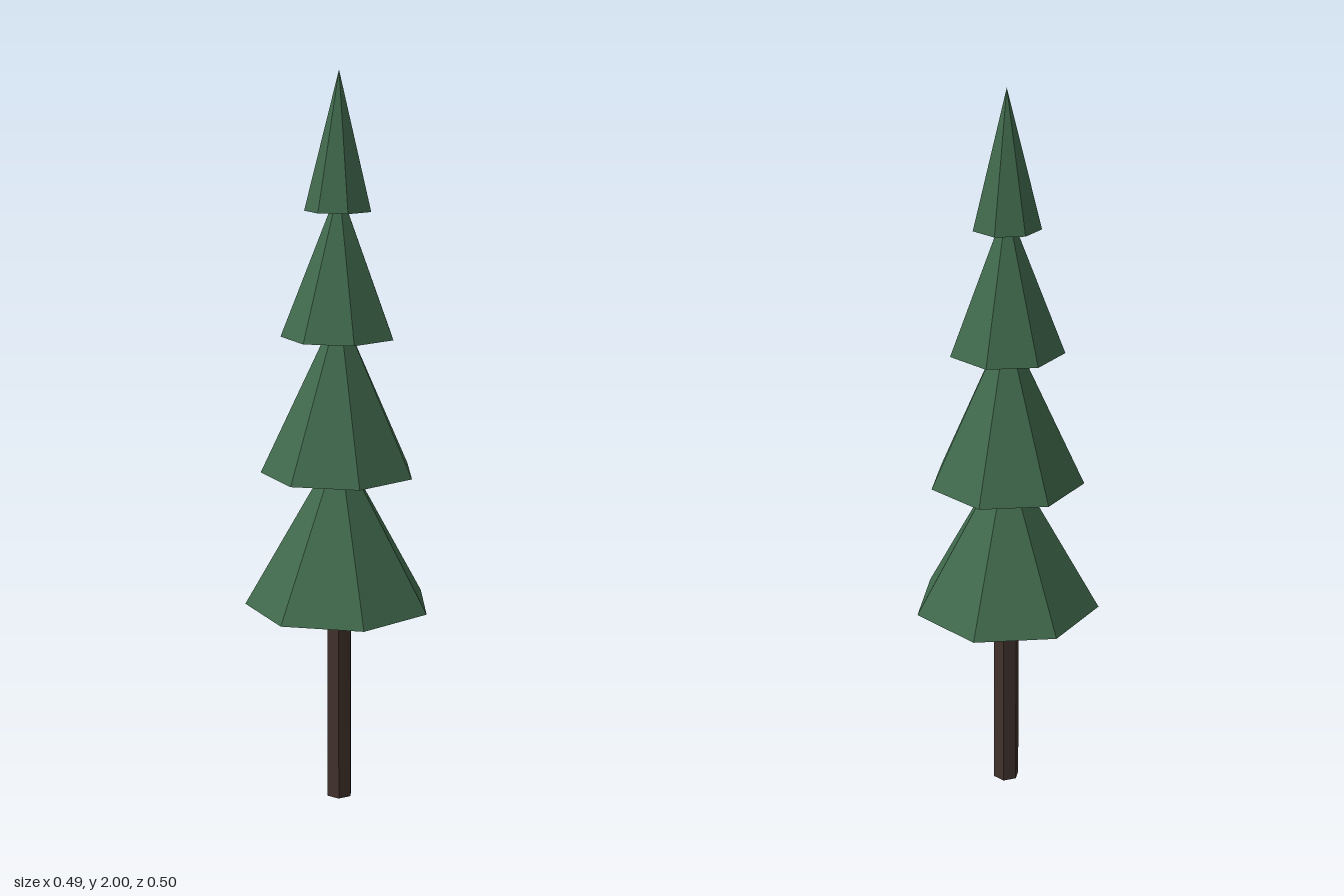
import * as THREE from 'three';

export function createModel() {
  const tree = new THREE.Group();
  tree.name = 'pineTree';

  const needles = new THREE.MeshStandardMaterial({ color: 0x40694c, flatShading: true });
  needles.name = 'needle green';
  const bark = new THREE.MeshStandardMaterial({ color: 0x42332d, flatShading: true });
  bark.name = 'bark brown';

  const axisX = -0.0125; // the corner pointing to +x shifts the trunk axis off centre

  // Prism or cone standing on baseY, with one corner pointing to +x
  function addPart(name, topRadius, radius, height, sides, baseY, material) {
    const geometry = new THREE.CylinderGeometry(
      topRadius, radius, height, sides, 1, false, Math.PI / 2);
    const mesh = new THREE.Mesh(geometry, material);
    mesh.name = name;
    mesh.position.set(axisX, baseY + height / 2, 0);
    tree.add(mesh);
  }

  // Six-sided trunk, reaching into the lowest tier
  addPart('trunk', 0.037, 0.037, 0.62, 6, 0, bark);

  // Four seven-sided foliage cones: radius, base height, apex height
  const tiers = [
    [0.2578, 0.561, 1.013],
    [0.212, 0.932, 1.384],
    [0.156, 1.303, 1.7],
    [0.0917, 1.637, 2],
  ];
  tiers.forEach(([radius, base, apex], i) => {
    addPart(`foliageTier${i + 1}`, 0, radius, apex - base, 7, base, needles);
  });

  return tree;
}
